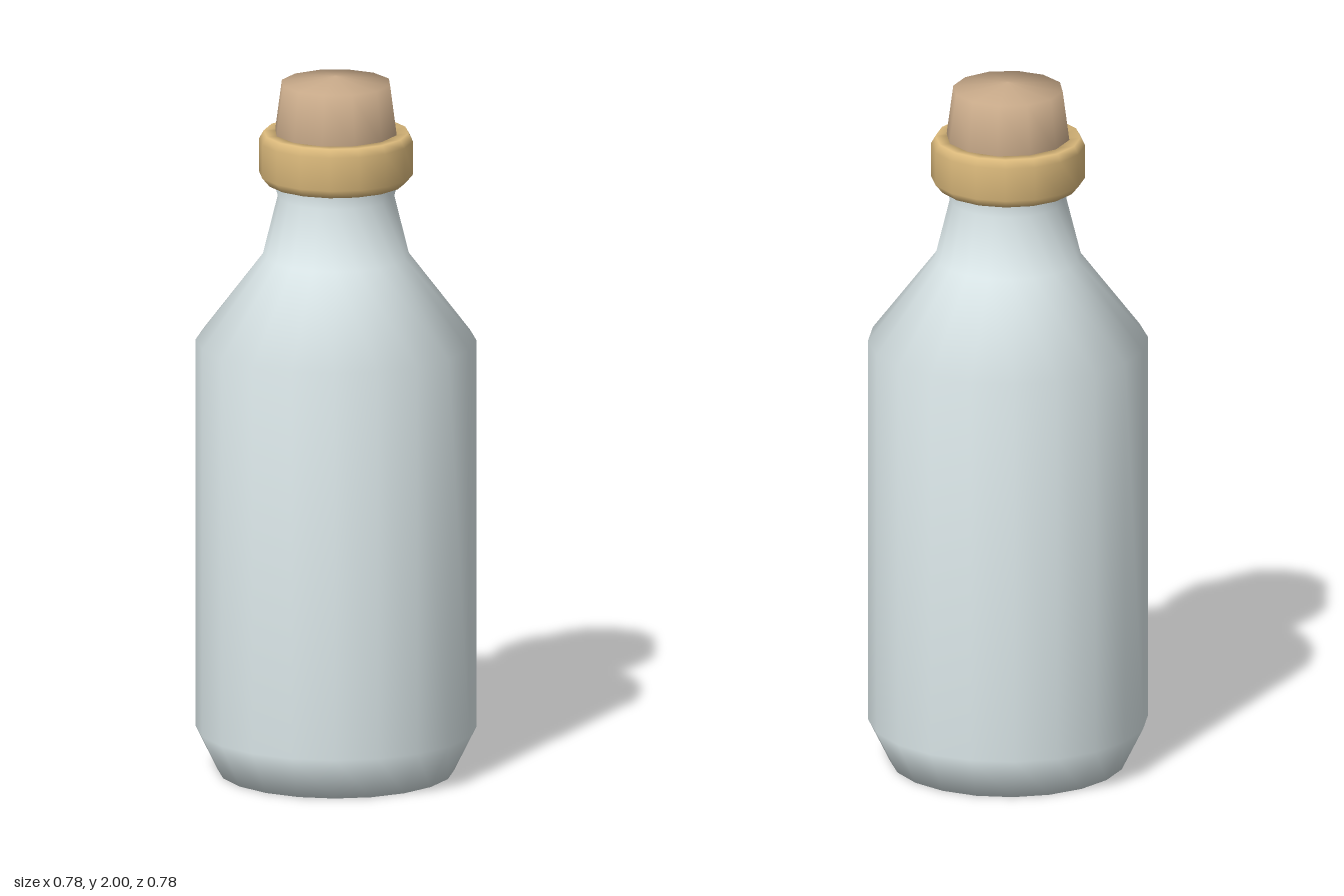
import * as THREE from 'three';

// Smooth-shaded turned part from [radius, height] pairs, listed bottom to top
function turned(name, profile, sides, color) {
  const points = profile.map(([r, y]) => new THREE.Vector2(r, y));
  const material = new THREE.MeshStandardMaterial({ color, side: THREE.DoubleSide });
  const mesh = new THREE.Mesh(new THREE.LatheGeometry(points, sides), material);
  mesh.name = name;
  return mesh;
}

export function createModel() {
  const group = new THREE.Group();
  group.name = 'corkedBottle';

  // Glass body: flat base, chamfered foot, straight wall, shoulder and neck
  group.add(turned('glassBody', [
    [0, 0], [0.33, 0], [0.392, 0.125], [0.392, 1.24],
    [0.205, 1.485], [0.163, 1.655], [0.175, 1.70], [0.175, 1.76],
  ], 20, 0xdce8ea));

  // Collar ring around the mouth, closed on its inside
  group.add(turned('collar', [
    [0.15, 1.695], [0.195, 1.695], [0.216, 1.72], [0.216, 1.815],
    [0.203, 1.838], [0.15, 1.838], [0.15, 1.695],
  ], 16, 0xdcba7c));

  // Tapered cork with a slightly domed top
  group.add(turned('cork', [
    [0, 1.72], [0.15, 1.72], [0.175, 1.83], [0.155, 1.98], [0, 2.0],
  ], 12, 0xc6a888));

  return group;
}
